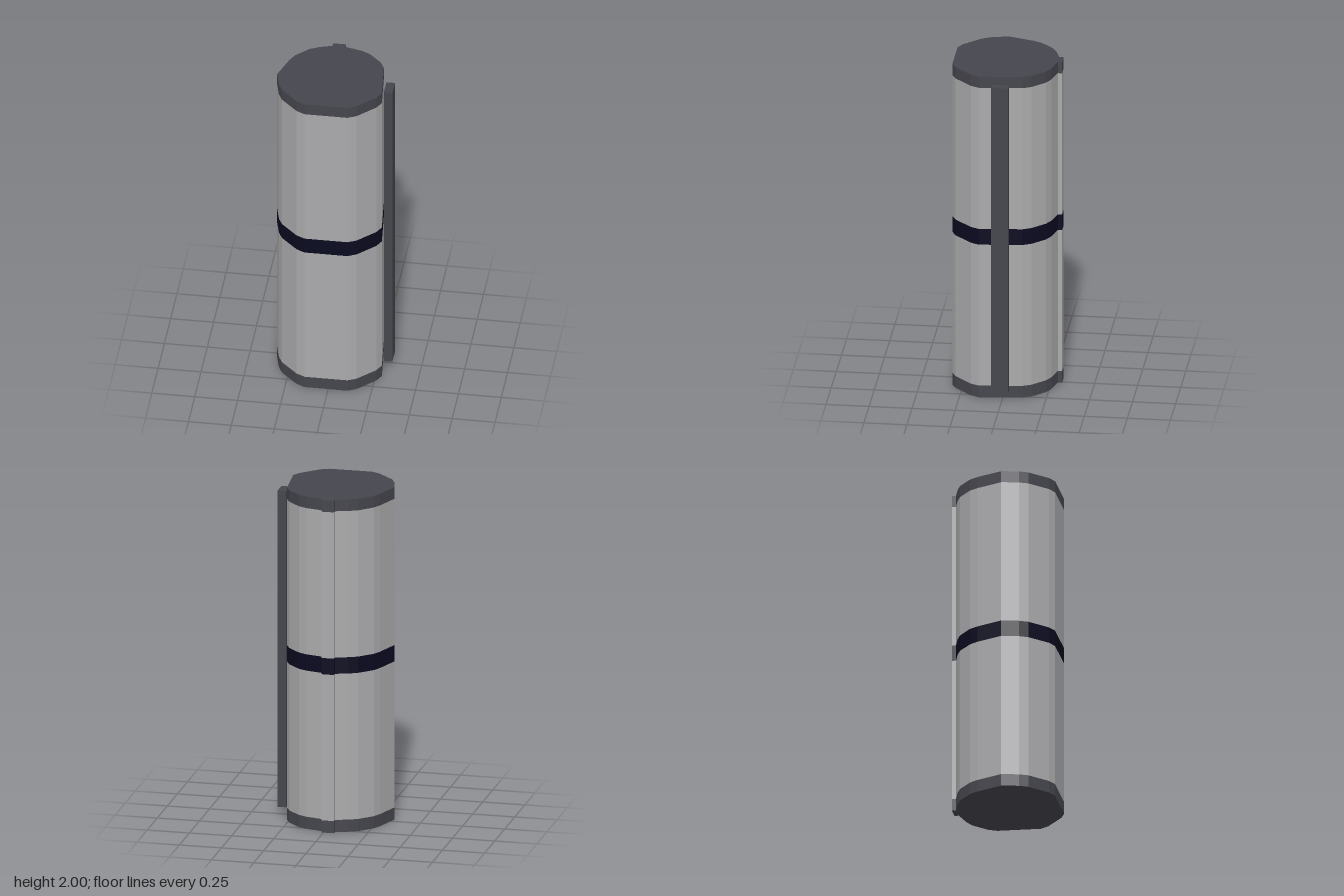
import * as THREE from 'three';

const UNIT = 0.025;
// Stepped cross-section, back to front: [left column, right column, rows deep]
const RUNS = [
  [11, 14, 1], [8, 18, 1], [6, 20, 1], [5, 21, 1], [4, 22, 1], [3, 23, 1], [2, 24, 2],
  [1, 25, 3], [0, 25, 3], [1, 25, 4],
  [2, 24, 2], [3, 23, 1], [4, 22, 1], [5, 21, 1], [6, 20, 1], [8, 18, 1],
];

function steppedOutline() {
  const left = [], right = [];
  const add = (list, column, row) => {
    const x = -0.3375 + column * UNIT, y = 0.3125 - row * UNIT;
    const n = list.length;
    // extend a straight side instead of adding points along it
    if (n > 1 && list[n - 1].x === x) list[n - 1].y = y;
    else list.push(new THREE.Vector2(x, y));
  };
  let row = 0;
  for (const [a, b, deep] of RUNS) {
    for (const r of [row, row + deep]) {
      add(left, a, r);
      add(right, b, r);
    }
    row += deep;
  }
  return new THREE.Shape([...left, ...right.reverse()]);
}

export function createModel() {
  const group = new THREE.Group();
  const material = (name, color) => {
    const m = new THREE.MeshStandardMaterial({ color });
    m.name = name;
    return m;
  };
  const grey = material('light grey', 0xaaaaac);
  const dark = material('dark grey', 0x45454d);
  const navy = material('dark navy', 0x0a0a20);
  const outline = steppedOutline();

  // Stacked slices of the stepped column
  const slices = [
    ['bottomCap', 0, 0.073, dark],
    ['lowerBody', 0.073, 0.952, grey],
    ['middleBand', 0.952, 1.05, navy],
    ['upperBody', 1.05, 1.93, grey],
    ['topCap', 1.93, 2, dark],
  ];
  for (const [name, y0, y1, mat] of slices) {
    const geometry = new THREE.ExtrudeGeometry(outline, { depth: y1 - y0, bevelEnabled: false });
    geometry.rotateX(-Math.PI / 2);
    const mesh = new THREE.Mesh(geometry, mat);
    mesh.name = name;
    mesh.position.y = y0;
    group.add(mesh);
  }

  // Upright rail on the left side
  const rail = new THREE.Mesh(new THREE.BoxGeometry(0.05, 1.902, 0.1), dark);
  rail.name = 'sideRail';
  rail.position.set(0.3125, 1.003, 0.0125);
  group.add(rail);

  return group;
}
